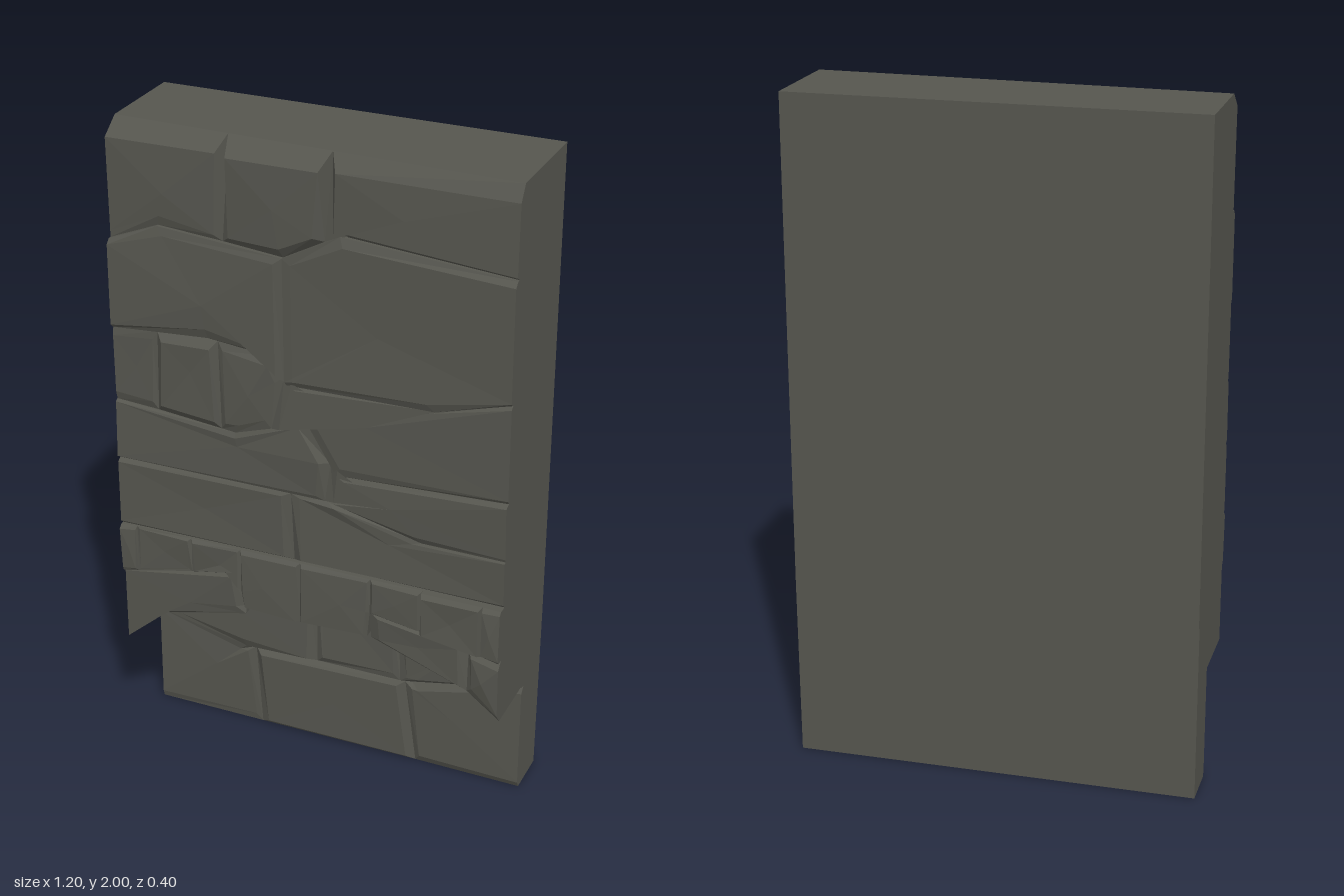
import * as THREE from 'three';

// repeatable 0..1 value from a position, so neighbouring stones meet at shared corners
function hash(a, b) {
  const s = Math.sin(a * 127.1 + b * 311.7) * 43758.5453;
  return s - Math.floor(s);
}

// height of a course line at x
function heightAt(line, x) {
  const i = Math.max(1, line.findIndex((p) => p[0] >= x - 1e-6));
  const [x0, y0] = line[i - 1], [x1, y1] = line[i];
  return y0 + (y1 - y0) * (x - x0) / (x1 - x0);
}

// piece of a course line between two joints
function piece(line, x0, x1) {
  const knots = line.filter((p) => p[0] > x0 + 0.001 && p[0] < x1 - 0.001);
  return [[x0, heightAt(line, x0)], ...knots, [x1, heightAt(line, x1)]];
}

// chipped stone: side wall, shallow chamfer, faceted front face (outline runs counter-clockwise)
function stoneGeometry(outline, back, rim, face, inset) {
  const pts = outline.map(([x, y]) => new THREE.Vector2(x, y));
  const mid = pts.reduce((m, p) => m.add(p), new THREE.Vector2()).divideScalar(pts.length);
  const rings = [[], [], []];
  for (const p of pts) {
    const top = p.y > 1.99;
    const rimZ = top ? 0.11 + p.x * 0.03 : rim + (hash(p.x, p.y) - 0.5) * 0.01;
    const q = p.clone().lerp(mid, Math.min(0.35, inset / p.distanceTo(mid)));
    if (Math.abs(p.x) > 0.599) q.x = p.x;
    if (top) q.y = 1.955;
    rings[0].push([p.x, p.y, back]);
    rings[1].push([p.x, p.y, rimZ]);
    rings[2].push([q.x, q.y, face + (hash(q.x, q.y) - 0.5) * 0.012]);
  }
  const pos = [], n = pts.length;
  const centre = [mid.x, mid.y, face + (hash(mid.x, mid.y) - 0.4) * 0.012];
  for (let i = 0; i < n; i++) {
    const j = (i + 1) % n;
    for (let k = 0; k < 2; k++) {
      const a = rings[k][i], b = rings[k][j], c = rings[k + 1][j], d = rings[k + 1][i];
      pos.push(...a, ...b, ...c, ...a, ...c, ...d);
    }
    pos.push(...rings[2][i], ...rings[2][j], ...centre);
  }
  const geo = new THREE.BufferGeometry();
  geo.setAttribute('position', new THREE.Float32BufferAttribute(pos, 3));
  geo.computeVertexNormals();
  return geo;
}

export function createModel() {
  const group = new THREE.Group();
  const stone = new THREE.MeshStandardMaterial({ color: 0x55554e });
  stone.name = 'dark stone';
  stone.flatShading = true;
  const add = (name, geo) => {
    const mesh = new THREE.Mesh(geo, stone);
    mesh.name = name;
    group.add(mesh);
  };

  // one row of stones between two course lines, split at the joints
  const course = (name, top, bottom, joints, { back = 0.085, face = 0.165, inset = 0.03, skew = 0.08 } = {}) => {
    const foot = (x) => (Math.abs(x) > 0.599 ? x : x + (hash(x, joints.length) - 0.5) * skew);
    for (let i = 0; i + 1 < joints.length; i++) {
      const x0 = joints[i], x1 = joints[i + 1];
      const outline = [...piece(bottom, foot(x0), foot(x1)), ...piece(top, x0, x1).reverse()];
      const z = face + (hash(x0, x1) - 0.5) * 0.016;
      add(name + (i + 1), stoneGeometry(outline, back, face - 0.012, z, inset));
    }
  };
  const level = (y) => [[-0.6, y], [0.6, y]];

  // course lines from the crown down to the arched underside
  const lineA = [[-0.6, 1.66], [-0.45, 1.72], [-0.07, 1.69], [0.1, 1.78], [0.6, 1.74]];
  const lineB = [[-0.6, 1.39], [-0.3, 1.41], [-0.1, 1.39], [-0.06, 1.31], [0.38, 1.32], [0.6, 1.38]];
  const lineC = [[-0.6, 1.16], [-0.22, 1.13], [0, 1.2], [0.09, 1.06], [0.6, 1.08]];
  const lineD = [[-0.6, 0.97], [0.06, 0.97], [0.35, 0.9], [0.6, 0.9]];
  const bandFoot = [[-0.6, 0.59], [-0.22, 0.67], [-0.2, 0.555], [0.19, 0.555], [0.2, 0.64], [0.6, 0.58]];
  const arch = [[-0.6, 0.35], [-0.48, 0.46], [-0.2, 0.53], [-0.19, 0.555], [0.19, 0.555], [0.5, 0.45], [0.6, 0.37]];
  const baseLine = [[-0.6, 0.35], [-0.3, 0.27], [0.25, 0.28], [0.6, 0.36]];

  // back slab
  add('backSlab', new THREE.BoxGeometry(1.2, 1.46, 0.145).translate(0, 1.27, -0.1275));

  // recessed lower slab, its back slightly set in
  const lower = new THREE.BoxGeometry(1.2, 0.54, 0.135).translate(0, 0.27, -0.1225);
  const lp = lower.attributes.position;
  for (let i = 0; i < lp.count; i++) {
    if (lp.getZ(i) < -0.1 && lp.getY(i) > 0.5 && lp.getX(i) > 0) lp.setZ(i, -0.2);
  }
  lower.computeVertexNormals();
  add('lowerSlab', lower);

  // overhanging core with an arched underside
  const profile = [...arch, [0.6, 2], [-0.6, 2]].map(([x, y]) => new THREE.Vector2(x, y));
  add('overhangCore', new THREE.ExtrudeGeometry(new THREE.Shape(profile), { depth: 0.15, bevelEnabled: false })
    .translate(0, 0, -0.06));

  // large wall stones
  course('crownStone', level(2), lineA, [-0.6, -0.25, 0.06, 0.6], { face: 0.16 });
  course('upperStone', lineA, lineB, [-0.6, -0.07, 0.6], { face: 0.17, skew: 0.02 });
  course('middleStone', lineB, lineC, [-0.6, -0.46, -0.27, -0.07, 0.6], { face: 0.167 });
  course('lowStone', lineC, lineD, [-0.6, 0.07, 0.6], { face: 0.168 });
  course('ledgeStone', lineD, level(0.75), [-0.6, -0.05, 0.6], { face: 0.165 });

  // band of smaller squared blocks
  course('bandBlock', level(0.75), bandFoot, [-0.6, -0.55, -0.37, -0.21, -0.02, 0.2, 0.36],
    { face: 0.177, inset: 0.012, skew: 0 });
  course('proudBlock', level(0.75), bandFoot, [0.36, 0.545, 0.6], { face: 0.193, inset: 0.01, skew: 0 });

  // stones hanging at both ends of the arch
  course('archStoneRight', bandFoot, arch, [-0.6, -0.2], { skew: 0 });
  course('archStoneLeft', bandFoot, arch, [0.2, 0.5, 0.6], { face: 0.172, skew: 0 });

  // recessed base stones
  const recessed = { back: -0.06, face: -0.039 };
  course('baseStone', baseLine, level(0), [-0.6, -0.27, 0.23, 0.6], recessed);
  course('recessStone', level(0.555), baseLine, [-0.6, -0.06, 0.2, 0.6], recessed);
  return group;
}
